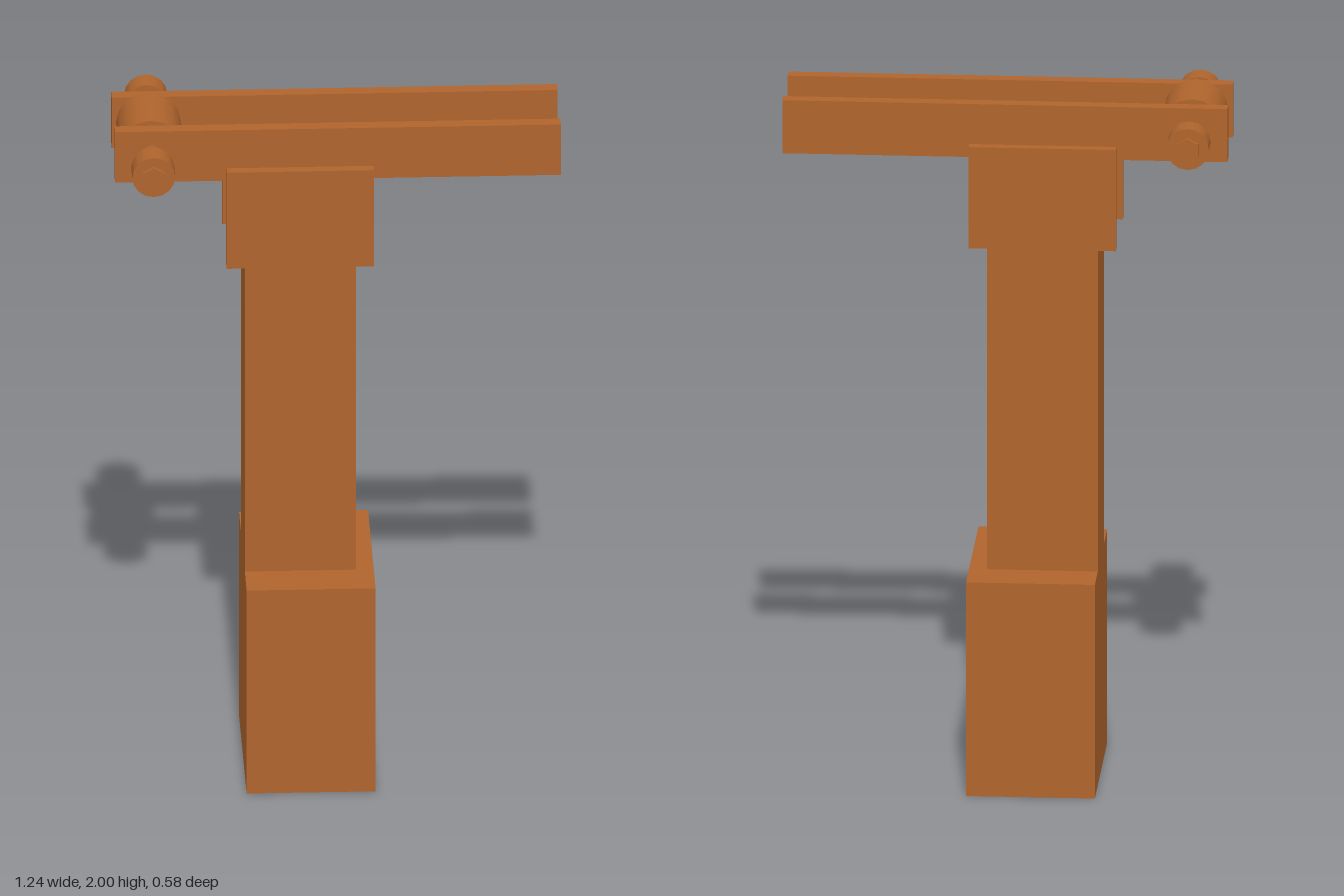
import * as THREE from 'three';

const material = new THREE.MeshStandardMaterial({ color: 0xb0652d });

export function createModel() {
  const model = new THREE.Group();

  const add = (name, geometry, x, y, z) => {
    const mesh = new THREE.Mesh(geometry, material);
    mesh.name = name;
    mesh.position.set(x, y, z);
    model.add(mesh);
    return mesh;
  };

  // Box given by its limits on each axis
  const box = (name, [x0, x1], [y0, y1], [z0, z1]) =>
    add(name, new THREE.BoxGeometry(x1 - x0, y1 - y0, z1 - z0),
      (x0 + x1) / 2, (y0 + y1) / 2, (z0 + z1) / 2);

  // Cylinder lying along z on the axle line
  const axleX = -0.52, axleY = 1.91;
  const turned = (name, radius, length, z, sides) => {
    let geometry = new THREE.CylinderGeometry(radius, radius, length, sides).rotateX(Math.PI / 2);
    if (sides === 6) {
      geometry = geometry.toNonIndexed();
      geometry.computeVertexNormals();
    }
    return add(name, geometry, axleX, axleY, z);
  };

  // Base block and post
  box('base', [-0.26, 0.1], [0, 0.625], [-0.258, 0.258]);
  box('post', [-0.26, 0.05], [0.625, 1.605], [-0.133, 0.133]);

  // Side plates and the two rails they carry
  for (const [side, s] of [['front', 1], ['back', -1]]) {
    const span = (a, b) => (s > 0 ? [a, b] : [-b, -a]);
    box(side + 'Plate', [-0.312, 0.1], [1.572, 1.868], span(0.133, 0.162));
    box(side + 'Rail', [-0.622, 0.622], [1.83, 1.985], span(0.094, 0.133));
    turned(side + 'Collar', 0.06, 0.07, s * 0.24, 16);
  }

  // Roller between the rails on a six-sided axle
  turned('roller', 0.09, 0.188, 0, 16);
  turned('axle', 0.035, 0.58, 0, 6);

  return model;
}
